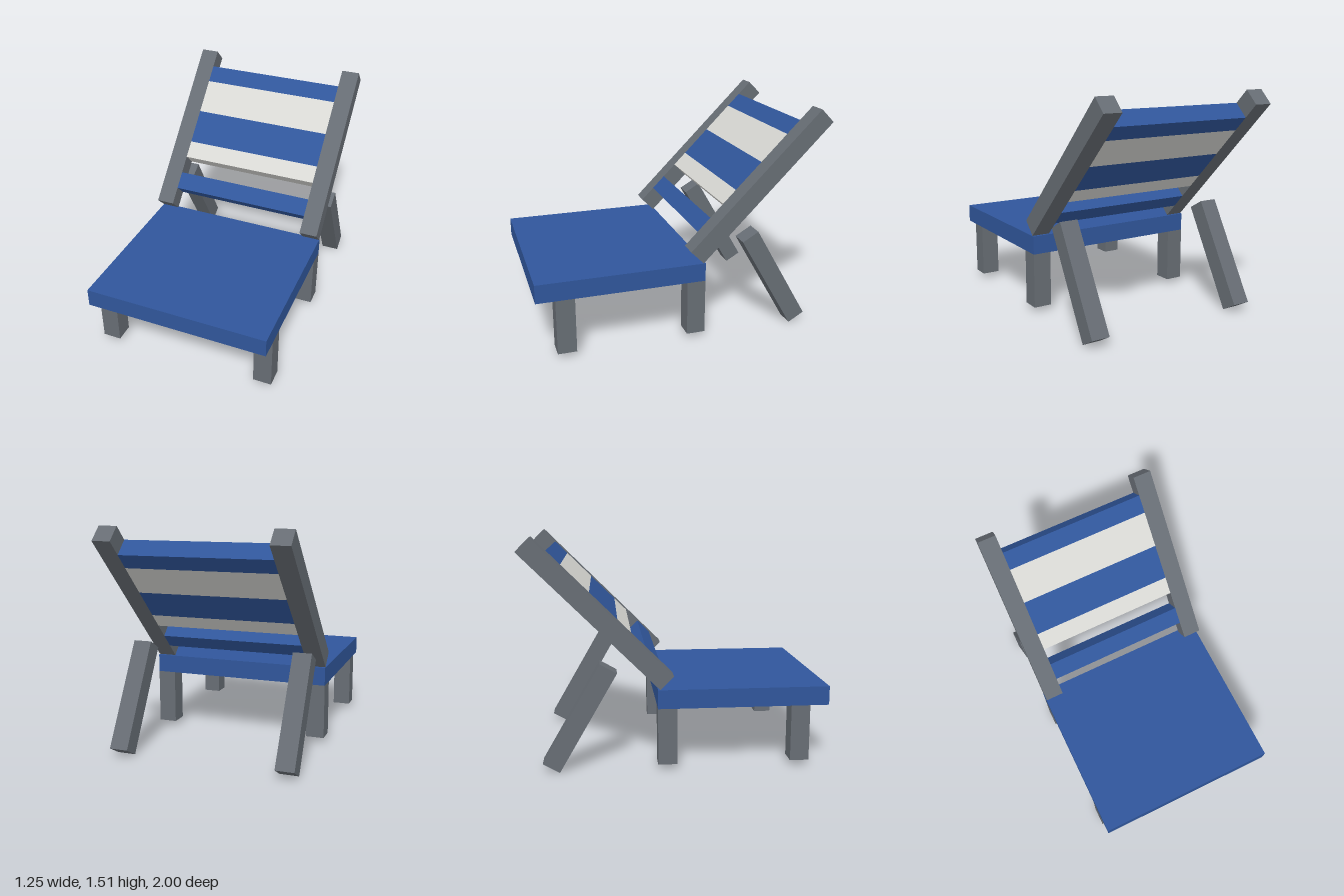
import * as THREE from 'three';

export function createModel() {
  const model = new THREE.Group();
  model.name = 'deckChair';

  const material = (name, color) => {
    const m = new THREE.MeshStandardMaterial({ color });
    m.name = name;
    return m;
  };
  const blue = material('blue fabric', 0x30569b);
  const white = material('white fabric', 0xd8d8d4);
  const gray = material('gray wood', 0x676d74);

  const U = 0.1253;          // beam thickness
  const HALF = 5 * U;        // half of the chair width
  const SIDE = HALF - U / 2; // x of beam centres

  const box = (parent, name, mat, size, pos) => {
    const mesh = new THREE.Mesh(new THREE.BoxGeometry(...size), mat);
    mesh.name = name;
    mesh.position.set(...pos);
    parent.add(mesh);
    return mesh;
  };

  // Seat slab
  box(model, 'seat', blue, [HALF * 2, U, 9 * U], [0, 0.4725, 1 - 4.5 * U]);

  // Reclined backrest, local y runs up the slope
  const backrest = new THREE.Group();
  backrest.name = 'backrest';
  backrest.position.set(0, 1.024, -0.512);
  backrest.rotation.x = -Math.PI / 4;
  model.add(backrest);

  for (const [side, label] of [[1, 'left'], [-1, 'right']]) {
    // Short seat legs
    box(model, label + 'FrontLeg', gray, [U, 3 * U, U], [side * SIDE, 0.41 - 1.5 * U, 1 - 1.5 * U]);
    box(model, label + 'MiddleLeg', gray, [U, 3 * U, U], [side * SIDE, 0.41 - 1.5 * U, 1 - 8.5 * U]);
    // Slanted rear props
    const prop = box(model, label + 'RearProp', gray, [U, 6 * U, U], [side * SIDE, 0.357, -0.631]);
    prop.rotation.x = Math.PI / 6;
    // Backrest rails
    box(backrest, label + 'BackRail', gray, [U, 10 * U, U], [side * SIDE, 0, 0]);
  }

  // Backrest bands: start and end in beam units from the lower end of the rails
  const bands = [
    ['lowerSlat', blue, 1, 2],
    ['lowerWhiteBand', white, 3, 4],
    ['middleBlueBand', blue, 4, 6],
    ['upperWhiteBand', white, 6, 8],
    ['topBlueBand', blue, 8, 9],
  ];
  for (const [name, mat, a, b] of bands) {
    box(backrest, name, mat, [8 * U, (b - a) * U, U], [0, ((a + b) / 2 - 5) * U, 0]);
  }

  return model;
}
